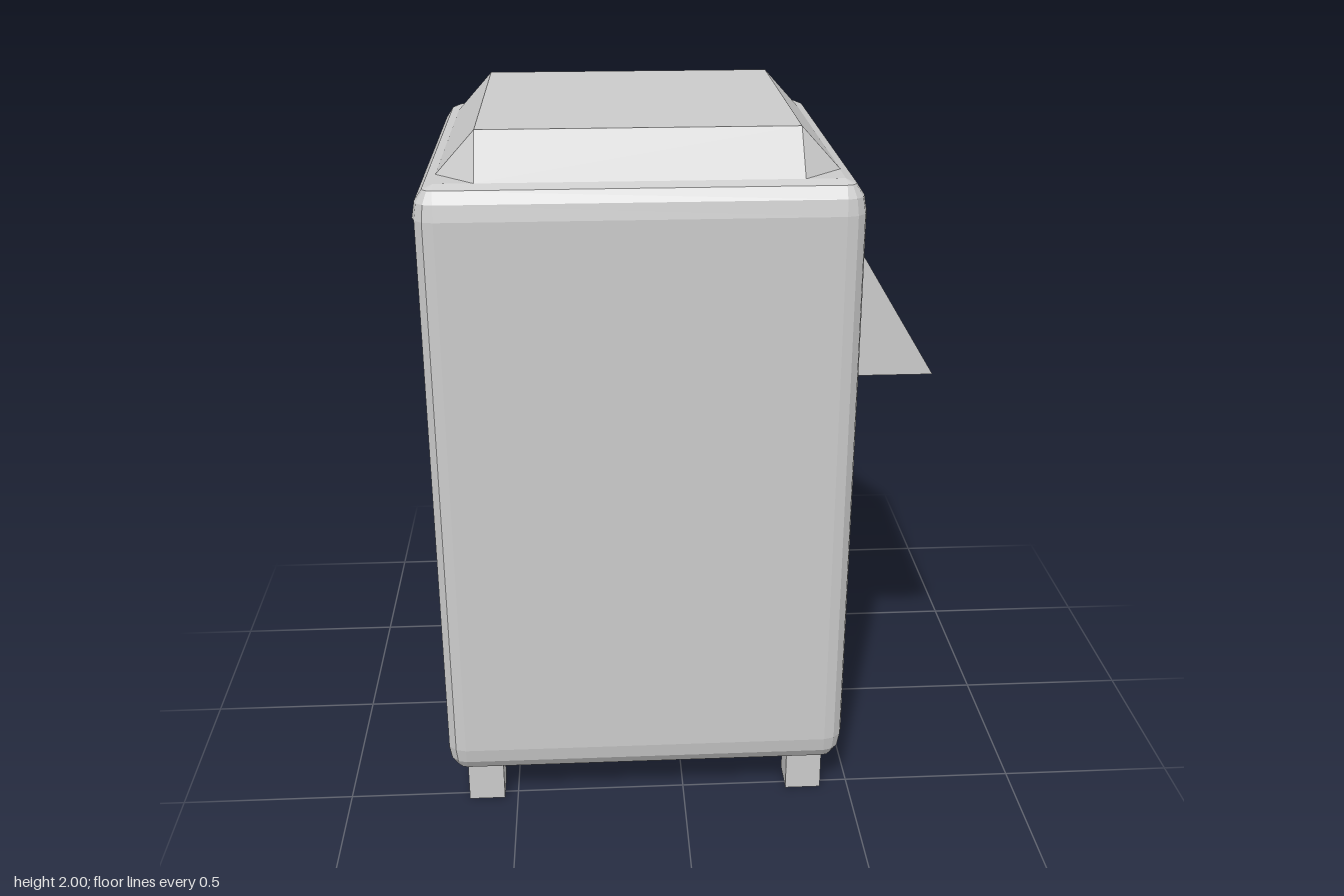
import * as THREE from 'three';
import { ConvexGeometry } from 'three/addons/geometries/ConvexGeometry.js';

const CX = -0.114, HALF = 0.586;            // body centre in x, half width
const Y0 = 0.122, Y1 = 1.885;               // body bottom and top
const R = 0.058, RY = 0.087, SEG = 3;       // edge rounding
const IN = 0.425, OUT = 0.53;               // inner / outer reach of lid and legs

const material = new THREE.MeshStandardMaterial({
  color: 0xcccccc, flatShading: true, side: THREE.DoubleSide,
});

function add(group, name, geometry, x = 0, y = 0, z = 0) {
  const mesh = new THREE.Mesh(geometry, material);
  mesh.name = name;
  mesh.position.set(x, y, z);
  group.add(mesh);
  return mesh;
}

// Rounded shell, open underneath and on the -x side
function shellGeometry() {
  const positions = [], rows = [], core = HALF - R;
  const ring = (y, r) => {
    const points = [];
    for (let c = 0; c < 4; c++) {
      const sx = c === 0 || c === 3 ? 1 : -1, sz = c < 2 ? 1 : -1;
      for (let k = 0; k <= SEG; k++) {
        const a = (c + k / SEG) * Math.PI / 2;
        points.push([sx * core + r * Math.cos(a), y, sz * core + r * Math.sin(a)]);
      }
    }
    return points;
  };
  for (let i = 0; i <= SEG; i++) {
    const a = (1 - i / SEG) * Math.PI / 2;
    rows.push(ring(Y0 + RY - RY * Math.sin(a), R * Math.cos(a)));
  }
  for (let i = 0; i <= SEG; i++) {
    const a = (i / SEG) * Math.PI / 2;
    rows.push(ring(Y1 - RY + RY * Math.sin(a), R * Math.cos(a)));
  }
  const quad = (a, b, c, d) => positions.push(...a, ...b, ...c, ...a, ...c, ...d);
  const n = rows[0].length;
  for (let i = 0; i < rows.length - 1; i++) {
    for (let j = 0; j < n; j++) {
      const corner = Math.floor(j / (SEG + 1)), k = j % (SEG + 1);
      const flat = k === SEG, openSide = flat && corner === 1;
      if (openSide && i <= SEG + 1) continue;                 // missing side wall
      if (flat && i === 0) continue;                          // missing floor rim
      if (i === SEG && ((corner === 1 && k === SEG - 1) || (corner === 2 && k === 0))) continue;
      const m = (j + 1) % n;
      quad(rows[i][j], rows[i + 1][j], rows[i + 1][m], rows[i][m]);
    }
  }
  const top = rows[rows.length - 1], s = SEG + 1;
  quad(top[3 * s], top[2 * s], top[s], top[0]);
  const geometry = new THREE.BufferGeometry();
  geometry.setAttribute('position', new THREE.Float32BufferAttribute(positions, 3));
  geometry.computeVertexNormals();
  return geometry;
}

// Raised lid: square top flaring to an eight-cornered base
function lidGeometry() {
  const points = [];
  for (const sx of [-1, 1]) for (const sz of [-1, 1]) {
    points.push(
      new THREE.Vector3(sx * IN, 2, sz * IN),
      new THREE.Vector3(sx * OUT, Y1, sz * IN),
      new THREE.Vector3(sx * IN, Y1, sz * OUT),
    );
  }
  return new ConvexGeometry(points);
}

// Wedge-shaped chute on the +x side
function chuteGeometry() {
  const shape = new THREE.Shape([[0.47, 1.3], [0.7, 1.3], [0.488, 1.65], [0.47, 1.65]]
    .map(([x, y]) => new THREE.Vector2(x, y)));
  return new THREE.ExtrudeGeometry(shape, { depth: 2 * IN, bevelEnabled: false });
}

// Square foot with an open top
function footGeometry() {
  const geometry = new THREE.BoxGeometry(OUT - IN, 0.128, OUT - IN);
  const index = Array.from(geometry.index.array);
  index.splice(12, 6);
  geometry.setIndex(index);
  geometry.clearGroups();
  return geometry;
}

export function createModel() {
  const model = new THREE.Group();
  model.name = 'bin';
  add(model, 'bodyShell', shellGeometry(), CX);
  add(model, 'lid', lidGeometry(), CX);
  add(model, 'chute', chuteGeometry(), 0, 0, -IN);
  const mid = (IN + OUT) / 2;
  for (const sx of [-1, 1]) for (const sz of [-1, 1]) {
    const name = (sz > 0 ? 'front' : 'back') + (sx > 0 ? 'Left' : 'Right') + 'Foot';
    add(model, name, footGeometry(), CX + sx * mid, 0.064, sz * mid);
  }
  return model;
}
